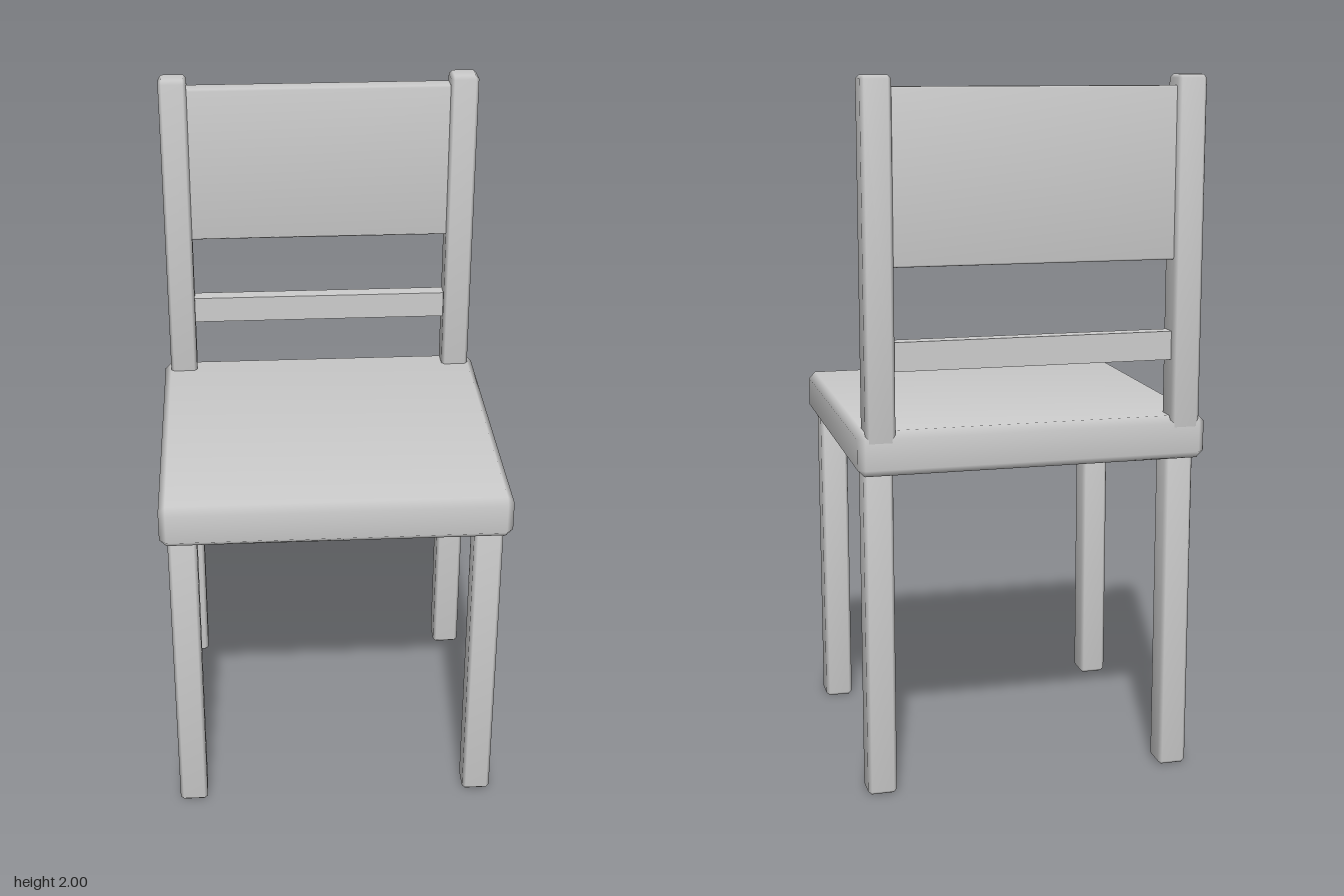
import * as THREE from 'three';
import { ConvexGeometry } from 'three/addons/geometries/ConvexGeometry.js';

// Box with narrow chamfers and softly blended normals.
function softBox(w, h, d, bevel, soft = 0.12) {
  const half = [w / 2, h / 2, d / 2];
  const points = [];
  for (let axis = 0; axis < 3; axis++)
    for (const sx of [-1, 1]) for (const sy of [-1, 1]) for (const sz of [-1, 1]) {
      const p = [sx, sy, sz].map((s, i) => s * (half[i] - (i === axis ? 0 : bevel)));
      points.push(new THREE.Vector3(...p));
    }
  const geometry = new ConvexGeometry(points);
  const pos = geometry.attributes.position;
  const normal = new THREE.Vector3();
  for (let i = 0; i < pos.count; i++) {
    const n = [pos.getX(i), pos.getY(i), pos.getZ(i)].map((v, k) =>
      Math.sign(v) * (Math.abs(v) > half[k] - 1e-4 ? 1 : soft));
    normal.set(...n).normalize();
    geometry.attributes.normal.setXYZ(i, normal.x, normal.y, normal.z);
  }
  return geometry;
}

export function createModel() {
  const chair = new THREE.Group();
  chair.name = 'chair';
  const grey = new THREE.MeshStandardMaterial({ color: 0xcccccc });
  grey.name = 'light grey';

  const add = (name, geometry, x, y, z) => {
    const mesh = new THREE.Mesh(geometry, grey);
    mesh.name = name;
    mesh.position.set(x, y, z);
    chair.add(mesh);
  };

  // Seat slab
  add('seat', softBox(0.99, 0.125, 0.95, 0.02), 0, 0.9975, 0);

  // Legs and backrest posts, mirrored left and right
  const leg = softBox(0.083, 0.96, 0.083, 0.01);
  const post = softBox(0.083, 0.98, 0.083, 0.01);
  for (const [side, s] of [['left', 1], ['right', -1]]) {
    add(side + 'FrontLeg', leg, s * 0.433, 0.48, 0.39);
    add(side + 'BackLeg', leg, s * 0.433, 0.48, -0.39);
    add(side + 'BackPost', post, s * 0.433, 1.51, -0.434);
  }

  // Backrest panel and the slat below it
  add('backPanel', softBox(0.82, 0.47, 0.06, 0.005), 0, 1.735, -0.434);
  add('backSlat', new THREE.BoxGeometry(0.82, 0.08, 0.045), 0, 1.26, -0.436);

  return chair;
}
